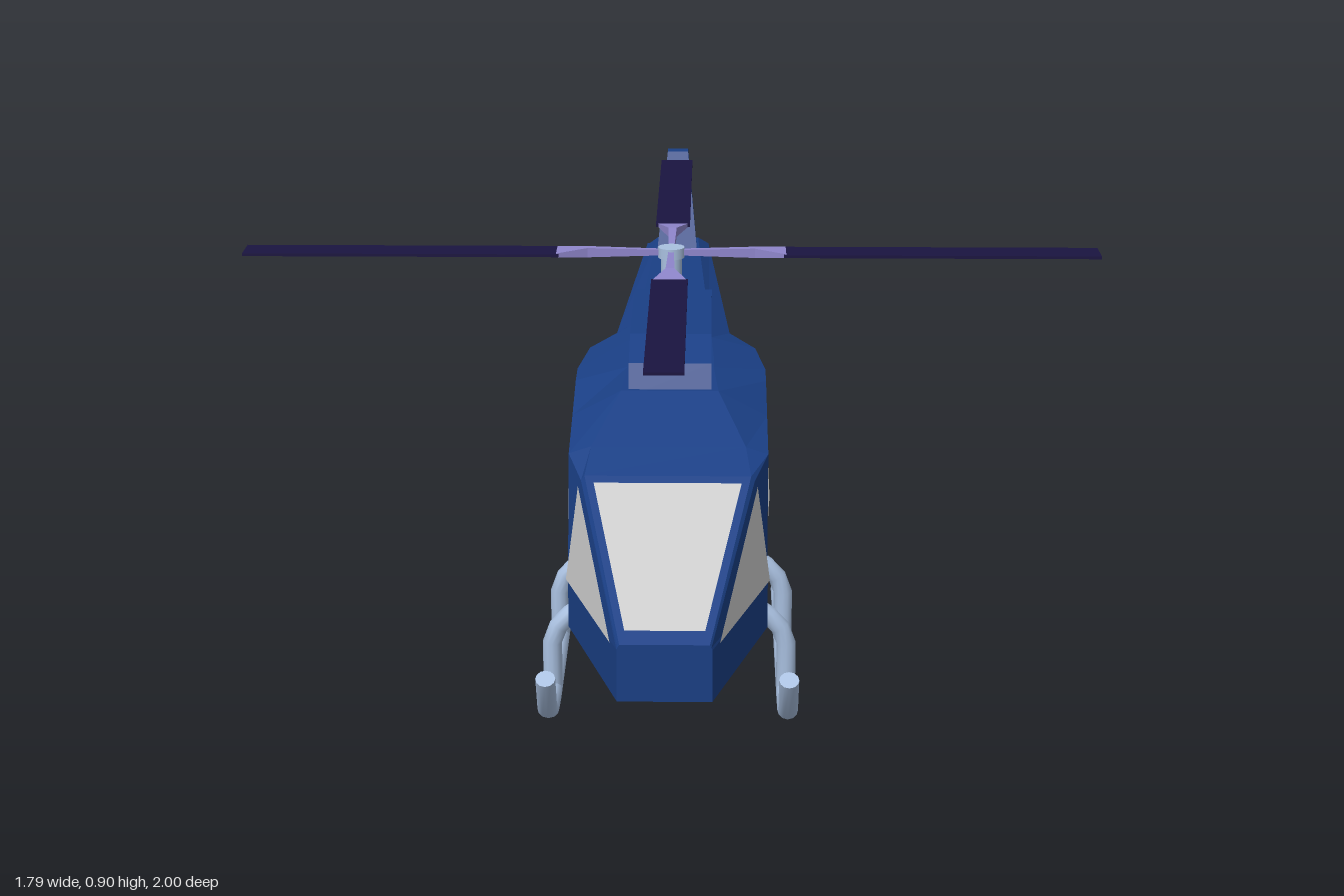
import * as THREE from 'three';

const paint = (color, extra = {}) => new THREE.MeshStandardMaterial({ color, ...extra });
const BLUE = paint(0x1a3f85, { flatShading: true });
const STEEL = paint(0xa9c0e0);
const LILAC = paint(0x8f86cc, { flatShading: true });
const DARK = paint(0x1a1440);
const GLASS = paint(0xcccccc, { side: THREE.DoubleSide });

function add(parent, name, geometry, material) {
  const mesh = new THREE.Mesh(geometry, material);
  mesh.name = name;
  parent.add(mesh);
  return mesh;
}

// Skin over equal-sized rings of [x, y, z], counter-clockwise seen from the first end
function loft(rings) {
  const n = rings[0].length, last = (rings.length - 1) * n, index = [];
  for (let i = 0; i < rings.length - 1; i++) {
    for (let j = 0; j < n; j++) {
      const a = i * n + j, b = i * n + (j + 1) % n;
      index.push(a, a + n, b, b, a + n, b + n);
    }
  }
  for (let j = 1; j < n - 1; j++) {
    index.push(0, j, j + 1, last, last + j + 1, last + j);
  }
  return polygon(rings.flat(), index);
}

function polygon(points, index) {
  const indexed = new THREE.BufferGeometry();
  indexed.setAttribute('position', new THREE.Float32BufferAttribute(points.flat(), 3));
  indexed.setIndex(index);
  const g = indexed.toNonIndexed();
  g.computeVertexNormals();
  return g;
}

// Straight runs joined at mitred corners
class Polyline extends THREE.Curve {
  constructor(points) {
    super();
    this.points = points.map(p => new THREE.Vector3(...p));
  }
  getPoint(t, target = new THREE.Vector3()) {
    const s = t * (this.points.length - 1);
    const i = Math.min(Math.floor(s), this.points.length - 2);
    return target.lerpVectors(this.points[i], this.points[i + 1], s - i);
  }
  getUtoTmapping(u) { return u; }
}

// Round bar with closed ends
function bar(parent, name, points, radius) {
  const group = new THREE.Group();
  group.name = name;
  const path = new Polyline(points);
  add(group, 'bar', new THREE.TubeGeometry(path, points.length - 1, radius, 12), STEEL);
  for (const [t, sign] of [[0, -1], [1, 1]]) {
    const cap = add(group, 'barEnd', new THREE.CircleGeometry(radius, 12), STEEL);
    cap.position.copy(path.getPoint(t));
    cap.quaternion.setFromUnitVectors(new THREE.Vector3(0, 0, 1), path.getTangent(t).multiplyScalar(sign));
  }
  parent.add(group);
}

function buildBody(model) {
  // z, then half-width and height of floor edge, belt, shoulder and roof edge
  const sections = [
    [0.93, 0.09, 0.23, 0.09, 0.335, 0.088, 0.34, 0.085, 0.345],
    [0.55, 0.2, 0.23, 0.2, 0.33, 0.172, 0.54, 0.165, 0.55],
    [0.47, 0.2, 0.23, 0.2, 0.33, 0.2, 0.57, 0.155, 0.585],
    [0.31, 0.2, 0.23, 0.2, 0.4, 0.2, 0.6, 0.1, 0.653],
    [0.16, 0.2, 0.23, 0.2, 0.4, 0.2, 0.63, 0.09, 0.66],
    [0.08, 0.2, 0.23, 0.2, 0.4, 0.2, 0.632, 0.09, 0.66],
    [-0.07, 0.18, 0.23, 0.18, 0.4, 0.18, 0.635, 0.085, 0.66],
    [-0.19, 0.125, 0.385, 0.125, 0.5, 0.125, 0.635, 0.08, 0.66],
    [-0.98, 0.077, 0.546, 0.077, 0.6, 0.077, 0.64, 0.05, 0.66],
    [-1.0, 0.076, 0.55, 0.076, 0.6, 0.076, 0.64, 0.05, 0.643],
  ];
  const rings = sections.map(([z, ...p]) => {
    const half = [0, 2, 4, 6].map(k => [p[k], p[k + 1], z]);
    return [...half, ...half.map(([x, y]) => [-x, y, z]).reverse()];
  });
  add(model, 'fuselage', loft(rings), BLUE);

  // Engine cowl: side profile extruded across x
  const profile = [[0.31, 0.64], [0.27, 0.7], [0.17, 0.735], [-0.19, 0.735], [-0.19, 0.64]];
  const shape = new THREE.Shape(profile.map(([z, y]) => new THREE.Vector2(-z, y)));
  const cowl = new THREE.ExtrudeGeometry(shape, { depth: 0.17, bevelEnabled: false });
  cowl.translate(0, 0, -0.085).rotateY(Math.PI / 2);
  add(model, 'engineCowl', cowl, BLUE);

  // Tail fin, tip ring first
  const finRing = (y, back, front, hwBack, hwFront) =>
    [[hwBack, y, back], [-hwBack, y, back], [-hwFront, y, front], [hwFront, y, front]];
  add(model, 'tailFin', loft([
    finRing(0.88, -1, -0.965, 0.025, 0.025),
    finRing(0.65, -0.98, -0.812, 0.045, 0.05),
  ]), BLUE);
}

function buildWindows(model) {
  add(model, 'windshield', polygon([
    [-0.076, 0.364, 0.906], [0.076, 0.364, 0.906], [0.146, 0.543, 0.572], [-0.146, 0.543, 0.572],
  ], [0, 1, 2, 0, 2, 3]), GLASS);
  for (const s of [1, -1]) {
    const order = s > 0 ? [0, 1, 2] : [0, 2, 1];
    add(model, 'cockpitSideWindow', polygon([
      [s * 0.104, 0.337, 0.9], [s * 0.204, 0.333, 0.555], [s * 0.178, 0.53, 0.555],
    ], order), GLASS);
    add(model, 'cabinWindow', polygon([
      [s * 0.203, 0.425, 0.46], [s * 0.203, 0.425, 0.23], [s * 0.203, 0.5, 0.23], [s * 0.203, 0.487, 0.46],
    ], s > 0 ? [0, 1, 2, 0, 2, 3] : [0, 2, 1, 0, 3, 2]), GLASS);
  }
}

function buildRotor(model) {
  const rotor = new THREE.Group();
  rotor.name = 'mainRotor';
  rotor.position.set(0, 0.893, 0.1);
  model.add(rotor);

  add(rotor, 'mast', new THREE.CylinderGeometry(0.022, 0.022, 0.18, 16), STEEL).position.y = -0.09;
  add(rotor, 'hub', new THREE.CylinderGeometry(0.028, 0.028, 0.022, 16), STEEL);

  // Arm cross-sections from blade root inward: x, half-height, half-width
  const armRings = [[0.24, 0.004, 0.033], [0.175, 0.01, 0.009], [0.02, 0.006, 0.006]]
    .map(([x, h, w]) => [[x, -h, -w], [x, h, -w], [x, h, w], [x, -h, w]]);
  const armGeometry = loft(armRings);
  const bladeGeometry = new THREE.BoxGeometry(0.66, 0.006, 0.074).translate(0.565, 0, 0);
  for (let i = 0; i < 4; i++) {
    const arm = new THREE.Group();
    arm.name = 'rotorArm';
    arm.rotation.y = i * Math.PI / 2;
    add(arm, 'bladeGrip', armGeometry, LILAC);
    add(arm, 'blade', bladeGeometry, DARK);
    rotor.add(arm);
  }
}

function buildLandingGear(model) {
  for (const s of [1, -1]) {
    const x = s * 0.243;
    bar(model, 'skid', [[x, 0.025, -0.205], [x, 0.025, 0.43], [x, 0.033, 0.51], [x, 0.065, 0.585], [x, 0.152, 0.638]], 0.02);
    for (const z of [0.385, 0.09]) {
      bar(model, 'skidStrut', [[x, 0.03, z], [x, 0.13, z], [s * 0.23, 0.165, z], [s * 0.205, 0.192, z], [s * 0.155, 0.228, z]], 0.02);
    }
  }
}

export function createModel() {
  const model = new THREE.Group();
  model.name = 'helicopter';
  buildBody(model);
  buildWindows(model);
  buildRotor(model);
  buildLandingGear(model);
  return model;
}
